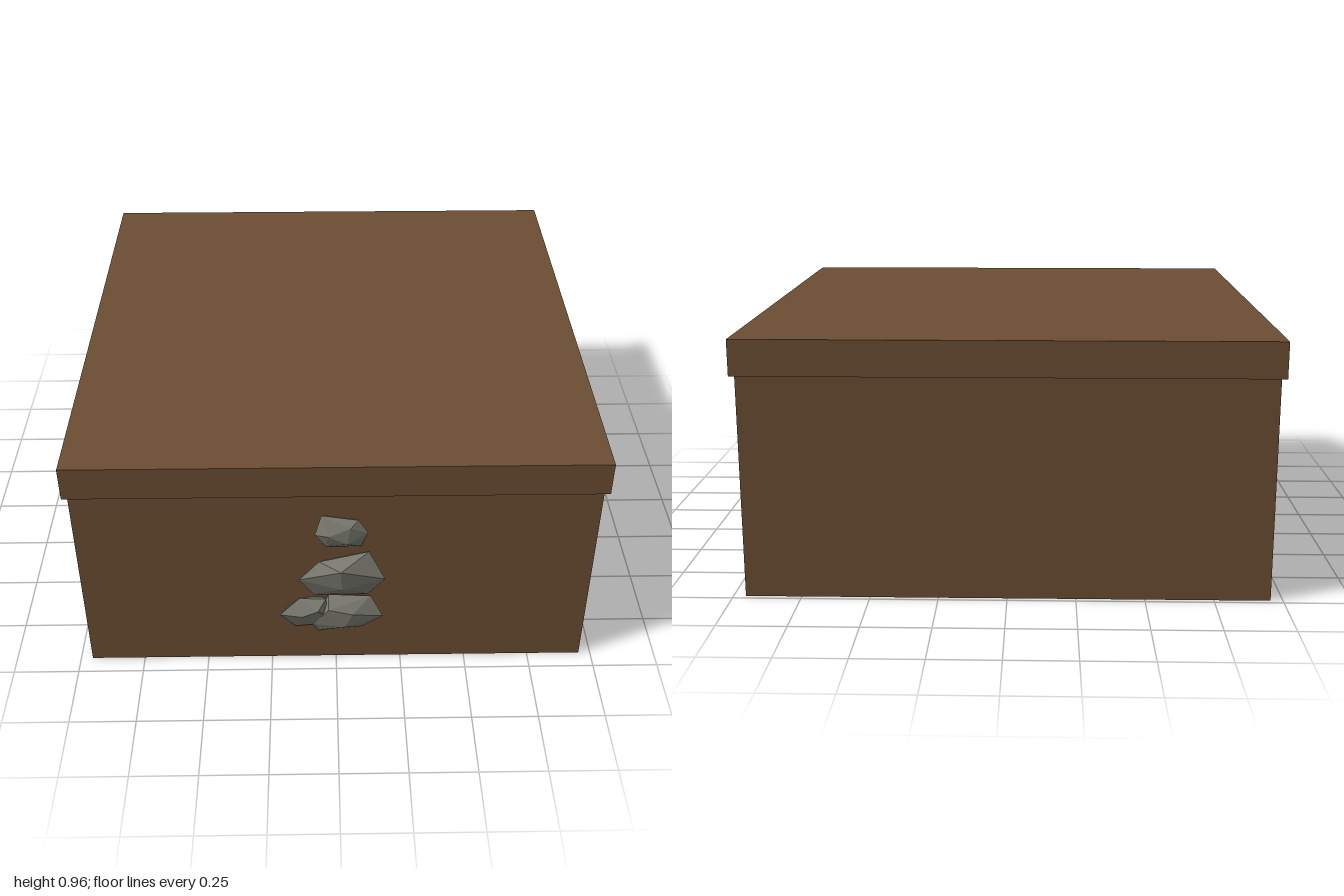
import * as THREE from 'three';
import { ConvexGeometry } from 'three/addons/geometries/ConvexGeometry.js';

const wood = new THREE.MeshStandardMaterial({ color: 0x6b4d33 });
const stone = new THREE.MeshStandardMaterial({ color: 0x7a7a70, flatShading: true });

// Box given by its min and max corners
function block(name, min, max) {
  const size = max.map((v, i) => v - min[i]);
  const mesh = new THREE.Mesh(new THREE.BoxGeometry(...size), wood);
  mesh.name = name;
  mesh.position.set(...max.map((v, i) => (v + min[i]) / 2));
  return mesh;
}

// Faceted stone: a girdle of points, front peaks, and a smaller ring sunk in the wall
function rock(name, girdle, peaks) {
  const front = [...girdle, ...peaks].map((p) => new THREE.Vector3(...p));
  const rim = front.slice(0, girdle.length);
  const centre = rim.reduce((s, p) => s.add(p), new THREE.Vector3()).divideScalar(rim.length);
  const back = rim.map((p) => p.clone().lerp(centre, 0.4).setZ(0.9));
  const mesh = new THREE.Mesh(new ConvexGeometry([...front, ...back]), stone);
  mesh.name = name;
  return mesh;
}

export function createModel() {
  const model = new THREE.Group();
  model.name = 'stoneTrimmedBox';

  model.add(block('body', [-0.955, 0, -0.98], [0.955, 0.83, 0.93]));
  model.add(block('lid', [-0.972, 0.825, -1], [0.972, 0.957, 0.95]));

  // Stack of stones on the front wall
  const stones = new THREE.Group();
  stones.name = 'stoneStack';
  stones.add(
    rock('topStone',
      [[-0.08, 0.645, 0.95], [-0.055, 0.725, 0.935], [0.08, 0.71, 0.945],
        [0.115, 0.655, 0.95], [0.09, 0.577, 0.935], [-0.04, 0.582, 0.94]],
      [[-0.03, 0.655, 0.973], [0.05, 0.69, 0.968], [0.04, 0.62, 0.973]]),
    rock('middleStone',
      [[-0.14, 0.435, 0.96], [-0.065, 0.515, 0.95], [0.12, 0.55, 0.935],
        [0.18, 0.44, 0.965], [0.12, 0.337, 0.935], [-0.085, 0.335, 0.935]],
      [[0.015, 0.505, 1], [0.02, 0.405, 0.985]]),
    rock('lowerLeftStone',
      [[-0.03, 0.34, 0.94], [0.13, 0.335, 0.945], [0.175, 0.25, 0.965],
        [0.1, 0.175, 0.945], [-0.07, 0.14, 0.93], [-0.09, 0.19, 0.945]],
      [[-0.03, 0.3, 0.985], [0.03, 0.21, 0.985], [0.06, 0.28, 0.99]]),
    rock('lowerRightStone',
      [[-0.215, 0.255, 0.96], [-0.14, 0.325, 0.945], [-0.04, 0.33, 0.955],
        [-0.03, 0.25, 0.96], [-0.07, 0.19, 0.945], [-0.155, 0.17, 0.935]],
      [[-0.13, 0.26, 0.98], [-0.07, 0.29, 0.982]]),
  );
  model.add(stones);
  return model;
}
